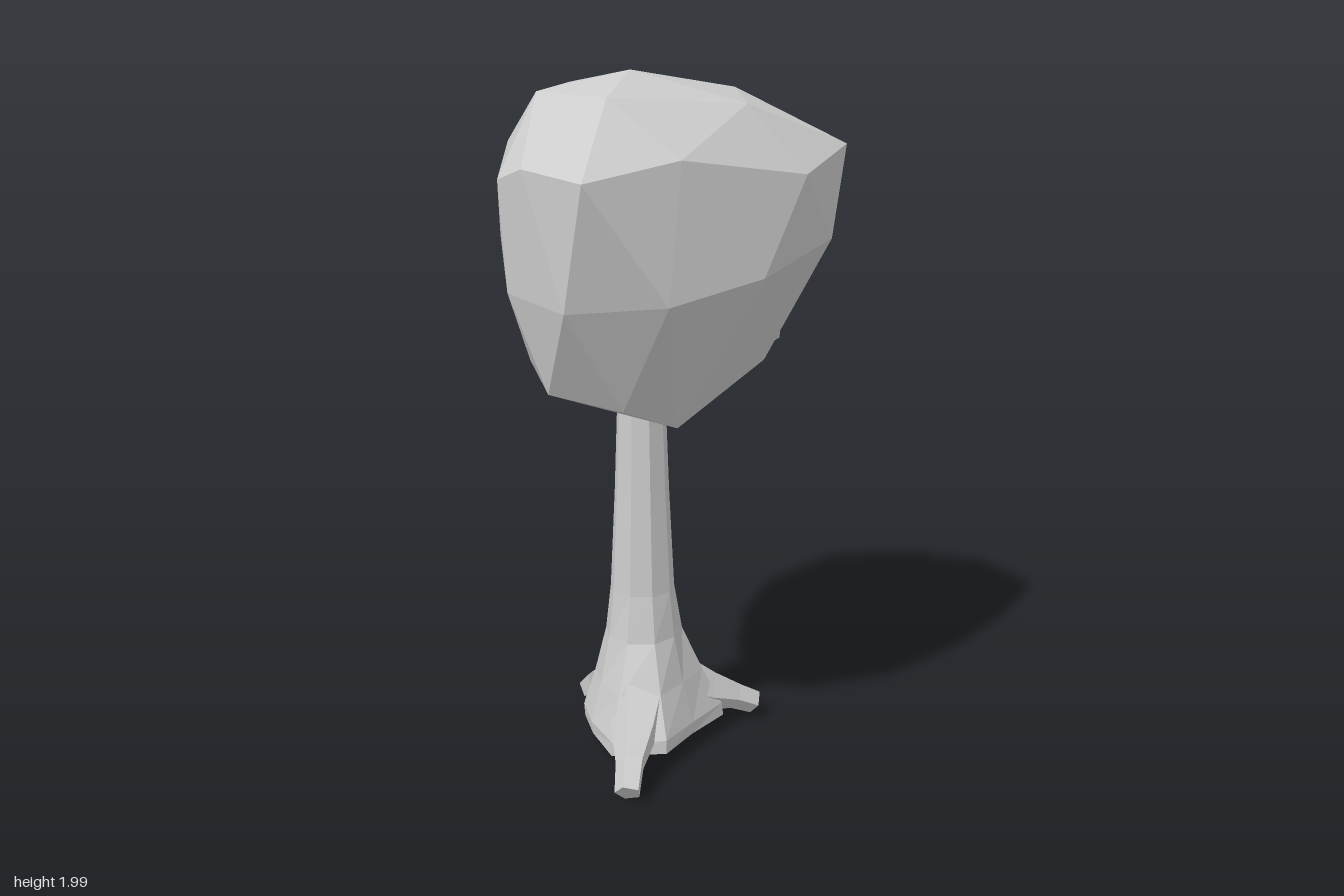
import * as THREE from 'three';
import { ConvexGeometry } from 'three/addons/geometries/ConvexGeometry.js';

const material = new THREE.MeshStandardMaterial({ color: 0xcccccc, flatShading: true });

function addMesh(group, name, geometry) {
  const mesh = new THREE.Mesh(geometry, material);
  mesh.name = name;
  group.add(mesh);
}

// Joins rings of equal size (listed start to end, counter-clockwise about the path) and caps both ends
function skin(rings) {
  const n = rings[0].length, last = rings.length - 1;
  const pos = rings.flat().flatMap((p) => p.toArray());
  const index = [];
  for (let r = 0; r < last; r++) {
    for (let i = 0; i < n; i++) {
      const a = r * n + i, b = r * n + (i + 1) % n;
      index.push(a, b, b + n, a, b + n, a + n);
    }
  }
  for (let i = 1; i < n - 1; i++) {
    index.push(0, i + 1, i, last * n, last * n + i, last * n + i + 1);
  }
  const g = new THREE.BufferGeometry();
  g.setAttribute('position', new THREE.Float32BufferAttribute(pos, 3));
  g.setIndex(index);
  const flat = g.toNonIndexed();
  flat.computeVertexNormals();
  return flat;
}

// Tapered limb through points given as [x, y, z, radius]
function limb(path, sides) {
  const pts = path.map((p) => new THREE.Vector3(p[0], p[1], p[2]));
  return skin(pts.map((p, k) => {
    const dir = pts[Math.min(k + 1, pts.length - 1)].clone().sub(pts[Math.max(k - 1, 0)]).normalize();
    const side = new THREE.Vector3(0, 1, 0).cross(dir).normalize();
    const up = dir.clone().cross(side);
    return Array.from({ length: sides }, (_, i) => {
      const a = ((i + 0.5) / sides) * Math.PI * 2;
      return p.clone()
        .addScaledVector(side, Math.cos(a) * path[k][3])
        .addScaledVector(up, Math.sin(a) * path[k][3]);
    });
  }));
}

const hull = (points) => new ConvexGeometry(points.map((p) => new THREE.Vector3(...p)));

// Root tips: [x, y, z]
const ROOTS = [[0.05, 0.04, 0.47], [-0.32, 0.045, -0.1], [0.21, 0.06, -0.17]];
const CX = -0.063, CZ = 0.08;

// Flared trunk, widening toward each root near the ground
function trunk() {
  const levels = [[0.06, 0.165], [0.1, 0.17], [0.22, 0.138], [0.36, 0.11], [0.5, 0.096], [0.8, 0.081], [1.1, 0.07], [1.3, 0.06]];
  return skin(levels.map(([y, r]) => Array.from({ length: 9 }, (_, i) => {
    const a = (i / 9) * Math.PI * 2;
    let bulge = 0;
    for (const [x, , z] of ROOTS) {
      const toward = Math.cos(Math.atan2(x - CX, z - CZ) - a);
      bulge = Math.max(bulge, Math.max(0, toward) ** 5 * Math.max(0, 0.4 - y) * 0.28);
    }
    const R = r + bulge;
    return new THREE.Vector3(CX + Math.sin(a) * R, y, CZ + Math.cos(a) * R);
  })));
}

export function createModel() {
  const tree = new THREE.Group();
  tree.name = 'tree';

  addMesh(tree, 'trunk', trunk());

  // Roots reach out of the flare, then bend down at the tip
  ROOTS.forEach(([x, y, z], i) => {
    const at = (t, h, r) => [CX + (x - CX) * t, h, CZ + (z - CZ) * t, r];
    addMesh(tree, 'root' + (i + 1), limb(
      [at(0.3, 0.18, 0.085), at(0.55, 0.13, 0.068), at(0.82, 0.093, 0.043), at(1, y, 0.038)], 5));
  });

  // Side branch carrying the small crown
  addMesh(tree, 'branch', limb([[-0.09, 0.88, 0.05, 0.036], [-0.14, 1.03, -0.04, 0.03], [-0.19, 1.22, -0.15, 0.024]], 5));

  // Main crown: faceted hull, from the top down
  addMesh(tree, 'mainCrown', hull([
    [-0.07, 2, 0.13], [-0.02, 1.94, 0.405], [0.125, 1.945, -0.175], [0.25, 1.915, 0.09],
    [-0.285, 1.945, 0.265], [-0.3, 1.96, 0.02], [-0.165, 1.88, -0.25],
    [0.04, 1.755, 0.698], [0.2, 1.795, 0.45], [0.42, 1.735, 0.09], [0.453, 1.795, -0.185],
    [0.23, 1.795, -0.375], [-0.1, 1.77, -0.37], [-0.325, 1.76, -0.25], [-0.4, 1.83, -0.1],
    [-0.453, 1.8, 0.11], [-0.265, 1.74, 0.54], [-0.165, 1.775, 0.605],
    [-0.03, 1.43, 0.66], [0.2, 1.44, 0.535], [0.36, 1.48, 0.26], [0.448, 1.545, -0.07],
    [0.335, 1.59, -0.335], [0, 1.605, -0.415], [-0.22, 1.5, -0.31], [-0.455, 1.58, -0.03],
    [-0.42, 1.55, 0.235], [-0.245, 1.45, 0.54], [-0.4, 1.35, 0.1], [0.3, 1.39, -0.14],
    [0.05, 1.145, 0.48], [-0.135, 1.19, 0.54], [-0.29, 1.225, 0.33], [0.27, 1.195, -0.03],
    [-0.28, 1.29, -0.1], [0.08, 1.38, -0.22], [-0.2, 1.38, -0.21], [0.14, 1.07, 0.32],
    [-0.075, 1.07, 0.22], [0.02, 1.185, -0.05],
  ]));

  // Small crown behind
  addMesh(tree, 'smallCrown', hull([
    [0.1, 1.41, -0.7], [-0.165, 1.04, -0.62], [-0.265, 1.42, -0.53], [-0.355, 1.09, -0.33],
    [-0.32, 1.42, -0.25], [-0.03, 1.61, -0.4], [0.23, 1.5, -0.33], [0.17, 1.155, -0.51],
    [-0.1, 0.98, -0.3], [0.13, 1.245, -0.12], [-0.2, 1.25, -0.12], [0.04, 1.5, -0.18],
  ]));

  return tree;
}
